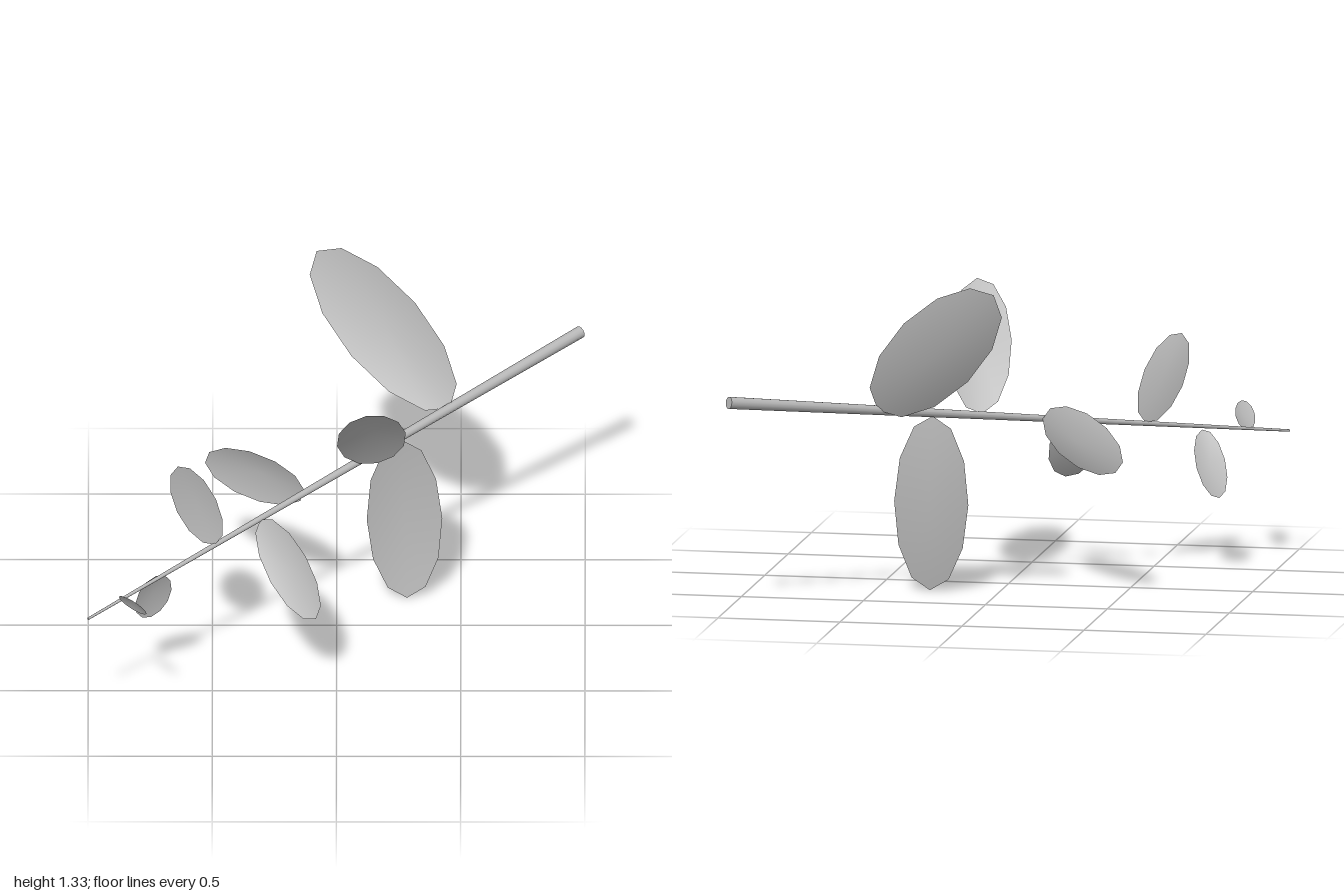
import * as THREE from 'three';

const grey = new THREE.MeshStandardMaterial({ color: 0xb8b8b8, side: THREE.DoubleSide });
grey.name = 'grey';

// Each leaf: centre, half length vector (stem to tip), half width vector
const LEAVES = [
  [[-0.82, 0.588, 0.78], [0.05, 0.032, 0.093], [-0.026, 0.037, 0.001]],
  [[-0.737, 0.44, 0.475], [-0.045, -0.13, -0.048], [0.058, -0.02, 0]],
  [[-0.564, 0.805, 0.368], [-0.075, 0.185, 0], [0.078, 0.031, 0]],
  [[-0.195, 0.51, 0.38], [0.112, -0.134, 0.163], [0.07, 0.067, 0.007]],
  [[-0.33, 0.628, -0.138], [-0.2, -0.05, -0.185], [-0.02, 0.113, -0.01]],
  [[0.14, 0.957, 0.11], [0.05, 0.24, 0.205], [0.131, -0.028, 0]],
  [[0.273, 0.369, -0.232], [0.01, -0.36, 0.022], [0.152, 0.004, 0]],
  [[0.187, 1.048, -0.585], [-0.268, 0.272, -0.16], [0.128, 0.118, -0.014]],
];

// Twelve-sided oval fan whose middle is raised into a shallow cone
function leafGeometry(centre, along, across) {
  const c = new THREE.Vector3(...centre);
  const u = new THREE.Vector3(...along);
  const v = new THREE.Vector3(...across);
  const n = new THREE.Vector3().crossVectors(u, v).normalize();
  if (n.z > 0) {
    n.negate();
    v.negate();
  }
  const sides = 12;
  const points = [c.clone().addScaledVector(n, u.length() * 0.13)];
  const index = [];
  for (let i = 0; i < sides; i++) {
    const a = (i / sides) * Math.PI * 2;
    points.push(c.clone().addScaledVector(u, Math.cos(a)).addScaledVector(v, Math.sin(a)));
    index.push(0, 1 + i, 1 + ((i + 1) % sides));
  }
  const g = new THREE.BufferGeometry().setFromPoints(points);
  g.setIndex(index);
  g.computeVertexNormals();
  return g;
}

export function createModel() {
  const group = new THREE.Group();
  group.name = 'leafyBranch';

  // Tapered straight stem
  const thin = new THREE.Vector3(-1, 0.53, 0.79);
  const thick = new THREE.Vector3(0.982, 0.865, -0.862);
  const axis = thick.clone().sub(thin);
  const stem = new THREE.Mesh(new THREE.CylinderGeometry(0.025, 0.005, axis.length(), 12), grey);
  stem.name = 'stem';
  stem.position.copy(thin).add(thick).multiplyScalar(0.5);
  stem.quaternion.setFromUnitVectors(new THREE.Vector3(0, 1, 0), axis.normalize());
  group.add(stem);

  // Leaves growing in size toward the thick end
  LEAVES.forEach((spec, i) => {
    const leaf = new THREE.Mesh(leafGeometry(...spec), grey);
    leaf.name = `leaf${i + 1}`;
    group.add(leaf);
  });

  return group;
}
